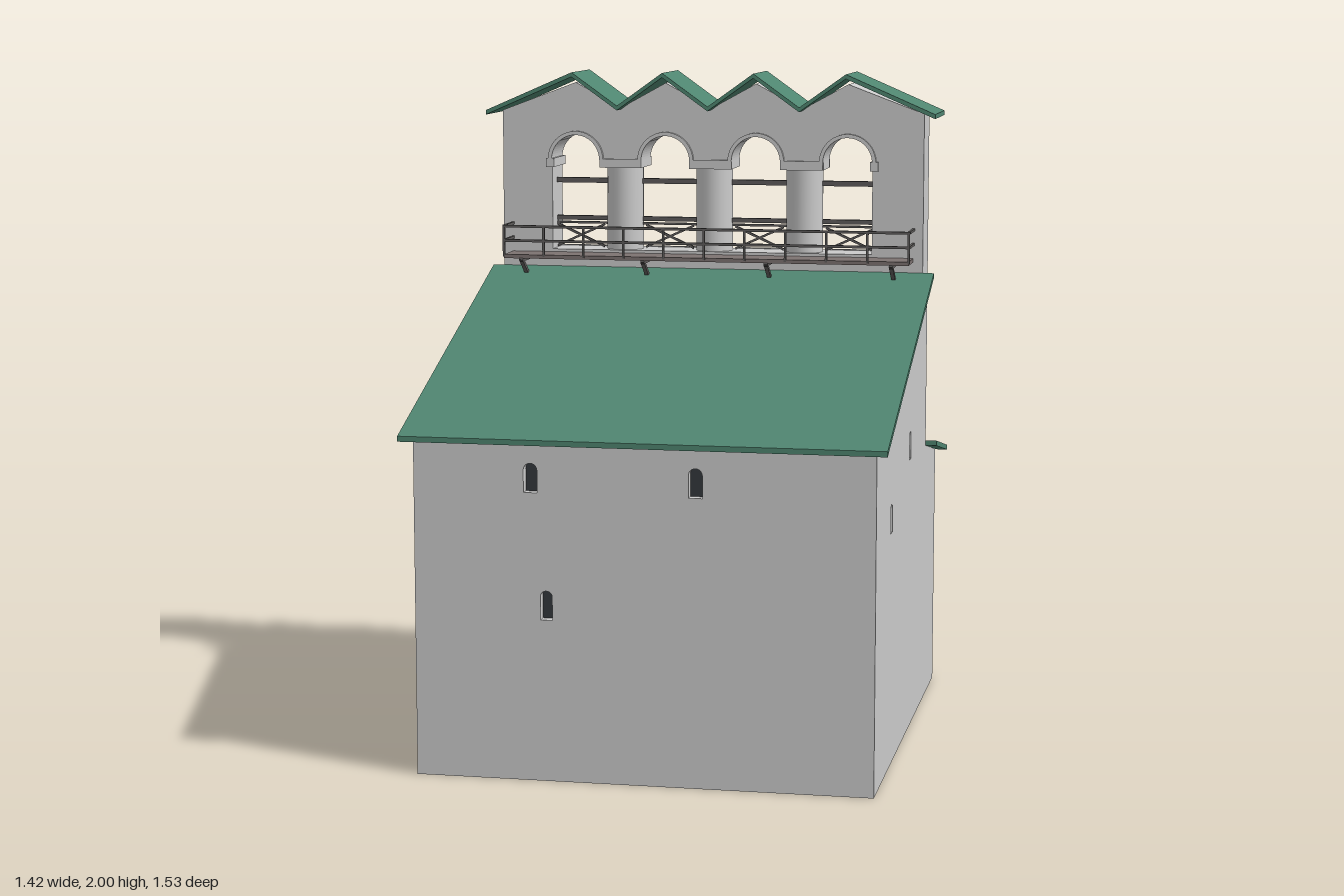
import * as THREE from 'three';

const grey = new THREE.MeshStandardMaterial({ color: 0xcccccc });
const green = new THREE.MeshStandardMaterial({ color: 0x4f8570 });
const iron = new THREE.MeshStandardMaterial({ color: 0x5e5c5b });
const plank = new THREE.MeshStandardMaterial({ color: 0x7d7371 });
const dark = new THREE.MeshStandardMaterial({ color: 0x34383c });

const W = 0.67, D = 0.73, T = 0.03;        // half width, half depth, wall thickness
const Z0 = -0.455, Z1 = -0.32;             // back and front of the bell wall
const ZM = (Z0 + Z1) / 2;
const ARCHES = [-0.433, -0.144, 0.144, 0.433];
const R = 0.077, SPRING = 1.725, SILL = 1.44, CAP = 1.7;

function add(parent, name, geometry, material) {
  const mesh = new THREE.Mesh(geometry, material);
  mesh.name = name;
  parent.add(mesh);
  return mesh;
}

function box(parent, name, size, pos, material) {
  const mesh = add(parent, name, new THREE.BoxGeometry(...size), material);
  mesh.position.set(...pos);
  return mesh;
}

// Thin square bar between two points
function bar(parent, name, a, b, thick, material = iron) {
  const p = new THREE.Vector3(...a), q = new THREE.Vector3(...b);
  const mesh = add(parent, name, new THREE.BoxGeometry(thick, thick, p.distanceTo(q)), material);
  mesh.position.copy(p).lerp(q, 0.5);
  mesh.lookAt(q);
  return mesh;
}

const polygon = (pts) => new THREE.Shape(pts.map(([x, y]) => new THREE.Vector2(x, y)));
const extrude = (shape, depth) =>
  new THREE.ExtrudeGeometry(shape, { depth, bevelEnabled: false, curveSegments: 16 });

// Round-headed opening: centre u, bottom, top, width
function archPath(u, y0, y1, w) {
  const r = w / 2, path = new THREE.Path();
  path.moveTo(u - r, y0);
  path.lineTo(u + r, y0);
  path.lineTo(u + r, y1 - r);
  path.absarc(u, y1 - r, r, 0, Math.PI, false);
  path.lineTo(u - r, y0);
  return path;
}

// Wall with recessed openings; its outer face is at local z = 0
function wall(parent, name, outline, openings, angle, distance) {
  const group = new THREE.Group();
  group.name = name;
  const shape = polygon(outline);
  for (const [u, y0, y1, w] of openings) {
    shape.holes.push(archPath(u, y0, y1, w));
    box(group, w > 0.08 ? 'doorPanel' : 'windowPane', [w + 0.02, y1 - y0 + 0.02, 0.01],
      [u, (y0 + y1) / 2, -T - 0.005], w > 0.08 ? iron : dark);
  }
  add(group, name + 'Surface', extrude(shape, T), grey).position.z = -T;
  group.rotation.y = angle;
  group.position.set(Math.sin(angle) * distance, 0, Math.cos(angle) * distance);
  parent.add(group);
}

// Slab whose (z, y) section runs along x
function slopedRoof(parent, name, section, halfWidth) {
  const geometry = extrude(polygon(section.map(([z, y]) => [-z, y])), halfWidth * 2);
  geometry.rotateY(Math.PI / 2);
  geometry.translate(-halfWidth, 0, 0);
  add(parent, name, geometry, green);
}

function buildHouse(model) {
  const rect = (h) => [[-W + T, 0], [W - T, 0], [W - T, h], [-W + T, h]];
  wall(model, 'frontWall', rect(0.995),
    [[-0.325, 0.845, 0.93, 0.04], [0.155, 0.845, 0.93, 0.04], [-0.28, 0.475, 0.56, 0.035]], 0, D);
  wall(model, 'backWall', rect(0.765),
    [[-0.235, 0.485, 0.575, 0.04], [0.4, 0.06, 0.33, 0.12]], Math.PI, D);
  const profile = [[-D, 0], [D, 0], [D, 0.999], [Z1, 1.37], [Z1, 0.83], [Z0, 0.83], [-D, 0.767]];
  wall(model, 'leftWall', profile.map(([z, y]) => [-z, y]).reverse(),
    [[0.05, 0.845, 0.93, 0.035], [-0.39, 0.7, 0.785, 0.035]], Math.PI / 2, W);
  wall(model, 'rightWall', profile,
    [[-0.11, 0.72, 0.805, 0.035], [0.185, 0.9, 0.985, 0.035], [0.31, 0.07, 0.33, 0.11]], -Math.PI / 2, W);
  box(model, 'floor', [2 * (W - T), 0.02, 2 * (D - T)], [0, 0.01, 0], grey);
  slopedRoof(model, 'frontRoof', [[0.77, 0.987], [0.77, 1.003], [Z1, 1.386], [Z1, 1.37]], 0.705);
  slopedRoof(model, 'backRoof', [[Z0, 0.822], [Z0, 0.838], [-0.765, 0.775], [-0.765, 0.759]], 0.705);
}

function buildBellWall(model) {
  const group = new THREE.Group();
  group.name = 'bellWall';
  model.add(group);

  // Wall with a zigzag top and four joined arches cut through it
  const zigzag = (edge, edgeY, peak, valley) => [[-edge, edgeY], [-0.433, peak], [-0.288, valley],
    [-0.144, peak], [0, valley], [0.144, peak], [0.288, valley], [0.433, peak], [edge, edgeY]];
  const shape = polygon([[-W, 0.83], ...zigzag(W, 1.878, 1.967, 1.888).slice(0), [W, 0.83]]);
  const hole = new THREE.Path();
  hole.moveTo(ARCHES[0] - R, SILL);
  hole.lineTo(ARCHES[3] + R, SILL);
  [...ARCHES].reverse().forEach((x, i) => {
    if (i) hole.lineTo(x + R, CAP);
    hole.lineTo(x + R, SPRING);
    hole.absarc(x, SPRING, R, 0, Math.PI, false);
    if (i < 3) hole.lineTo(x - R, CAP);
  });
  hole.lineTo(ARCHES[0] - R, SILL);
  shape.holes.push(hole);
  add(group, 'arcadeWall', extrude(shape, Z1 - Z0), grey).position.z = Z0;

  // Folded roof
  const top = zigzag(0.71, 1.88, 2, 1.897);
  const under = top.map(([x, y]) => [x, y - 0.014]).reverse();
  add(group, 'zigzagRoof', extrude(polygon([...top, ...under]), 0.255), green).position.z = -0.515;

  // Columns and imposts
  for (const x of [-0.288, 0, 0.288]) {
    const column = add(group, 'column', new THREE.CylinderGeometry(0.058, 0.058, CAP - SILL, 24), grey);
    column.position.set(x, (CAP + SILL) / 2, ZM);
    box(group, 'impost', [0.134, 0.028, Z1 - Z0 + 0.02], [x, CAP + 0.014, ZM], grey);
  }
  for (const x of [-0.516, 0.516]) {
    box(group, 'impost', [0.026, 0.028, Z1 - Z0 + 0.02], [x, CAP + 0.014, ZM], grey);
  }

  for (const x of ARCHES) {
    // Raised moulding round the arch
    const ring = new THREE.Shape();
    ring.absarc(x, SPRING, R + 0.012, 0, Math.PI, false);
    ring.absarc(x, SPRING, R, Math.PI, 0, true);
    add(group, 'archMoulding', extrude(ring, 0.014), grey).position.z = Z1 - 0.002;
    // Sill and crossed guard in each opening
    box(group, 'sill', [0.17, 0.012, 0.02], [x, SILL - 0.004, Z0 - 0.001], grey);
    for (const s of [-1, 1]) {
      bar(group, 'crossBrace', [x - R, SILL + 0.04 - s * 0.035, ZM], [x + R, SILL + 0.04 + s * 0.035, ZM], 0.007);
    }
  }
  for (const [y, t] of [[1.655, 0.016], [1.535, 0.014], [1.52, 0.007]]) {
    bar(group, 'tieBar', [-0.515, y, ZM], [0.515, y, ZM], t);
  }
}

function buildBalcony(model) {
  const group = new THREE.Group();
  group.name = 'balcony';
  model.add(group);
  const X = 0.64, Z = -0.203, Y = 1.425;
  box(group, 'balconyFloor', [2 * X, 0.012, Z - Z1], [0, Y, (Z + Z1) / 2], plank);
  for (const y of [1.475, 1.52]) {
    bar(group, 'frontRail', [-X, y, Z], [X, y, Z], 0.008);
    for (const x of [-X, X]) bar(group, 'endRail', [x, y, Z], [x, y, Z1], 0.008);
  }
  for (let i = 0; i <= 10; i++) {
    const x = -X + i * X / 5;
    bar(group, 'railPost', [x, Y, Z], [x, 1.522, Z], 0.007);
  }
  // Brackets down to the roof
  for (const x of [-0.585, -0.195, 0.195, 0.585]) {
    bar(group, 'bracket', [x, Y - 0.005, Z], [x, 1.366, -0.28], 0.012);
    bar(group, 'joist', [x, Y - 0.01, Z], [x, Y - 0.01, Z1], 0.012);
  }
}

export function createModel() {
  const model = new THREE.Group();
  model.name = 'bellTowerHouse';
  buildHouse(model);
  buildBellWall(model);
  buildBalcony(model);
  return model;
}
